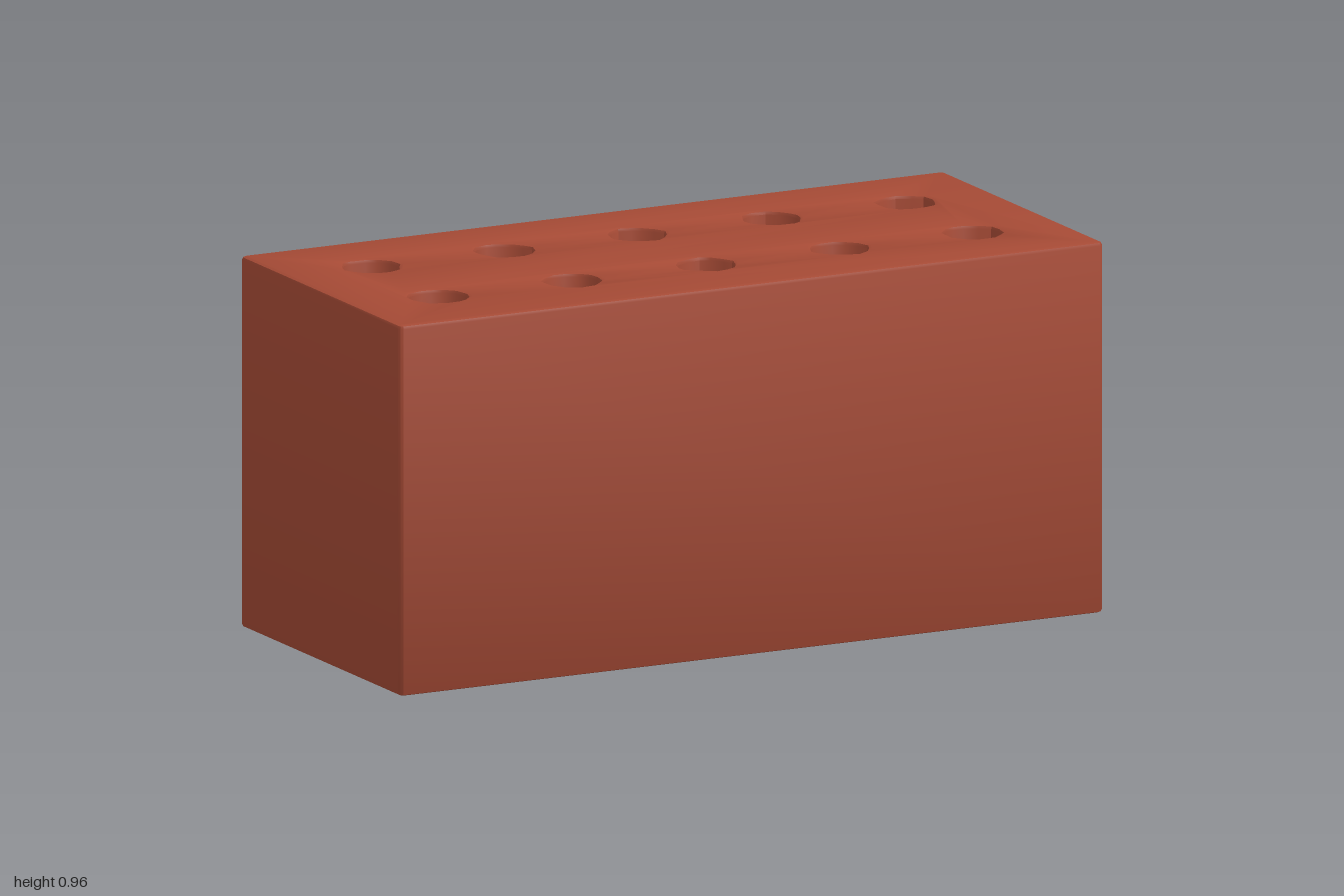
import * as THREE from 'three';
import { toCreasedNormals } from 'three/addons/utils/BufferGeometryUtils.js';

const HALF_X = 1, HALF_Z = 0.437, HEIGHT = 0.96, EDGE = 0.01;

// Small repeatable noise for the rough hole outlines
function seeded(seed) {
  return () => (seed = (seed * 16807) % 2147483647) / 2147483647;
}

// Rectangle with slightly rounded corners
function brickOutline() {
  const s = new THREE.Shape(), r = 0.015;
  const corners = [[1, -1], [1, 1], [-1, 1], [-1, -1]];
  corners.forEach(([sx, sz], i) => {
    s.absarc(sx * (HALF_X - r), sz * (HALF_Z - r), r, (i - 1) * Math.PI / 2, i * Math.PI / 2, false);
  });
  return s;
}

// Roughly round hole with an uneven edge
function holeOutline(x, z, random) {
  const points = [], sides = 14;
  for (let i = 0; i < sides; i++) {
    const a = (i + 0.4 * (random() - 0.5)) / sides * Math.PI * 2;
    const r = 0.069 + 0.01 * random();
    points.push(new THREE.Vector2(x + r * Math.cos(a), z + r * Math.sin(a)));
  }
  return new THREE.Path(points.reverse());
}

export function createModel() {
  const group = new THREE.Group();
  group.name = 'brick';

  const brickRed = new THREE.MeshStandardMaterial({ color: 0xa54a35 });
  brickRed.name = 'brick red';

  // Two rows of five holes running right through
  const random = seeded(4711);
  const outline = brickOutline();
  for (const z of [-0.185, 0.185]) {
    for (let i = -2; i <= 2; i++) outline.holes.push(holeOutline(i * 0.38, z, random));
  }

  // Upright body with softened edges
  const body = new THREE.ExtrudeGeometry(outline, {
    depth: HEIGHT - 2 * EDGE,
    curveSegments: 3,
    bevelEnabled: true,
    bevelThickness: EDGE,
    bevelSize: EDGE,
    bevelOffset: -EDGE,
    bevelSegments: 2,
  });
  body.rotateX(-Math.PI / 2);
  body.translate(0, EDGE, 0);

  const mesh = new THREE.Mesh(toCreasedNormals(body, 0.7), brickRed);
  mesh.name = 'brickBody';
  group.add(mesh);
  return group;
}
